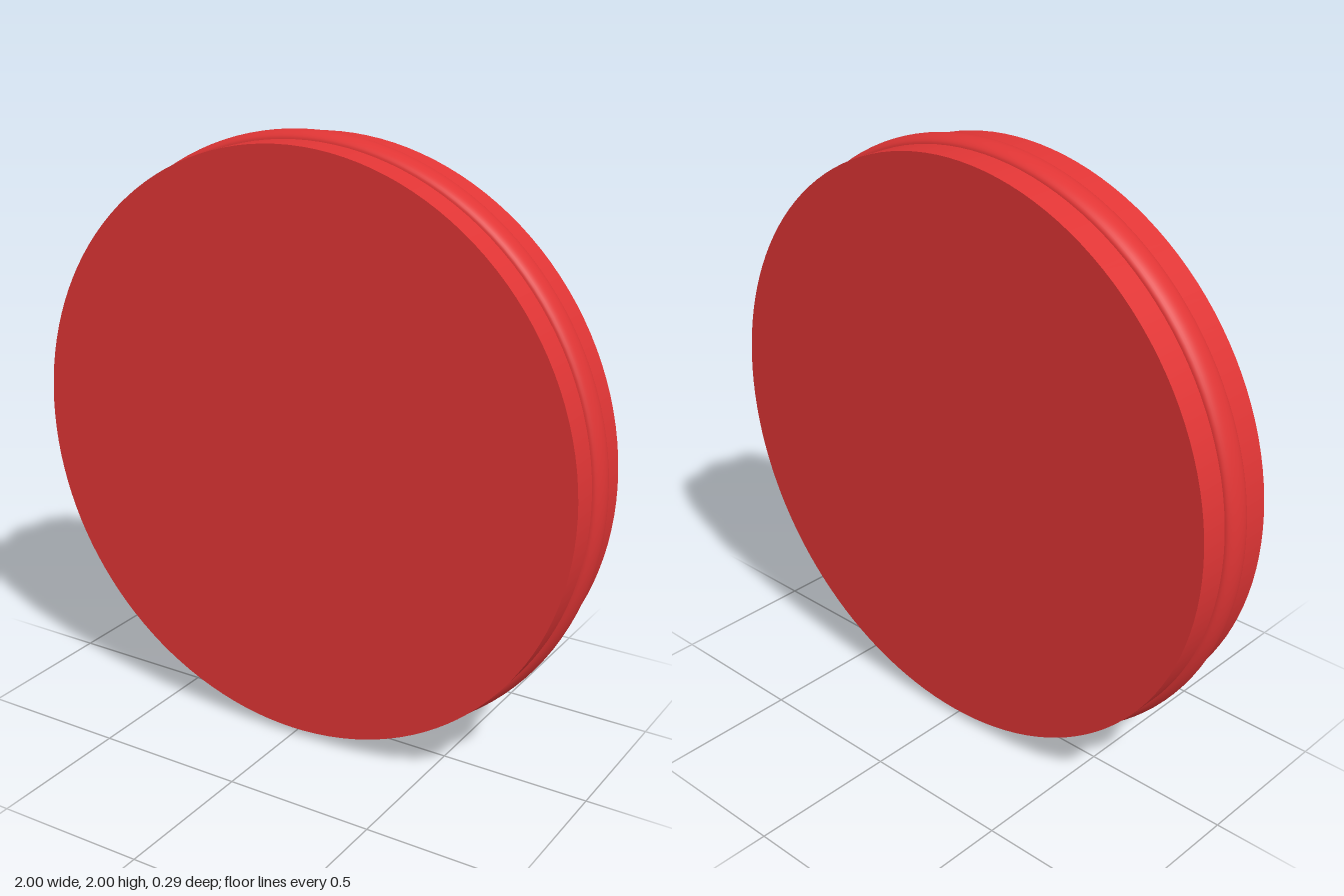
import * as THREE from 'three';

const DISC_R = 0.976, HALF_DEPTH = 0.147;
const BEAD_HALF = 0.049, BEAD_RISE = 0.024;

export function createModel() {
  const group = new THREE.Group();
  group.name = 'roundDisc';
  const material = new THREE.MeshStandardMaterial({ color: 0xe03535 });

  // Flat round disc with sharp rims, its axis along z
  const disc = new THREE.Mesh(
    new THREE.CylinderGeometry(DISC_R, DISC_R, HALF_DEPTH * 2, 128), material);
  disc.name = 'disc';

  // Rounded bead around the middle of the rim: half an ellipse turned about the axis
  const profile = [];
  for (let i = 0; i <= 16; i++) {
    const a = -Math.PI / 2 + (Math.PI * i) / 16;
    profile.push(new THREE.Vector2(DISC_R + BEAD_RISE * Math.cos(a), BEAD_HALF * Math.sin(a)));
  }
  const bead = new THREE.Mesh(new THREE.LatheGeometry(profile, 128), material);
  bead.name = 'rimBead';

  for (const part of [disc, bead]) {
    part.rotation.x = Math.PI / 2;
    part.position.y = 1;
    group.add(part);
  }
  return group;
}
